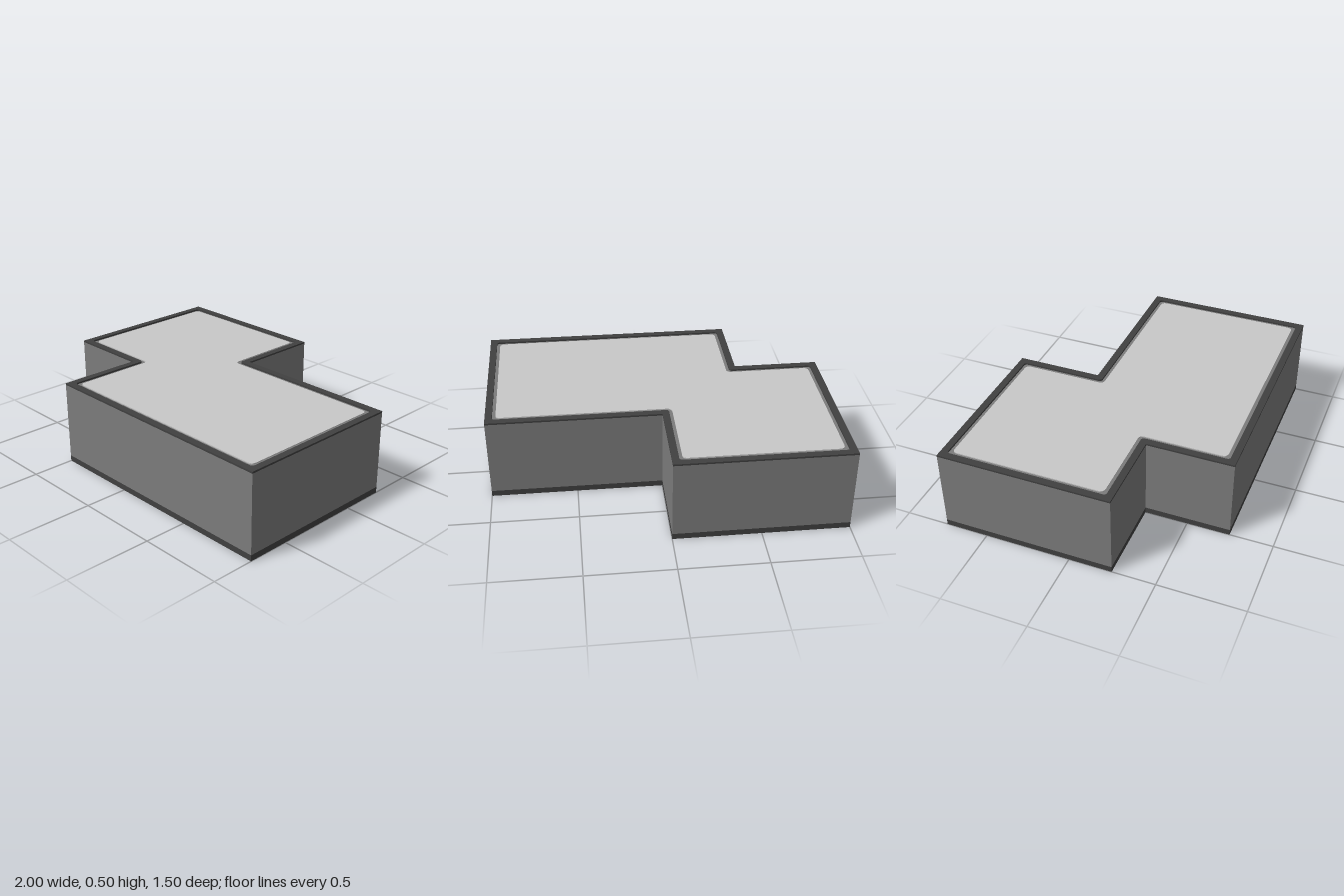
import * as THREE from 'three';

// Z-shaped footprint as [x, z] corners
const OUTLINE = [[-1, -0.75], [0, -0.75], [0, -0.25], [1, -0.25], [1, 0.75], [-0.5, 0.75], [-0.5, 0.25], [-1, 0.25]];

// Footprint moved inward by d, with corners rounded by r
function trace(path, d, r) {
  const n = OUTLINE.length;
  const dir = (i) => {
    const a = OUTLINE[(i + n) % n], b = OUTLINE[(i + 1) % n];
    return [Math.sign(b[0] - a[0]), Math.sign(b[1] - a[1])];
  };
  OUTLINE.forEach(([px, pz], i) => {
    const [ax, az] = dir(i - 1), [bx, bz] = dir(i);
    const x = px - (az + bz) * d, z = pz + (ax + bx) * d;
    if (r === 0) {
      if (i === 0) path.moveTo(x, z);
      else path.lineTo(x, z);
      return;
    }
    if (i === 0) path.moveTo(x - ax * r, z - az * r);
    else path.lineTo(x - ax * r, z - az * r);
    path.quadraticCurveTo(x, z, x + bx * r, z + bz * r);
  });
  path.closePath();
  return path;
}

// Upright slab of the footprint between heights y0 and y1
function slab(name, material, y0, y1, inset, radius, hole) {
  const shape = trace(new THREE.Shape(), inset, radius);
  if (hole) shape.holes.push(trace(new THREE.Path(), hole.inset, hole.radius));
  const geometry = new THREE.ExtrudeGeometry(shape, { depth: y1 - y0, bevelEnabled: false, curveSegments: 6 });
  geometry.rotateX(Math.PI / 2);
  geometry.translate(0, y1, 0);
  const mesh = new THREE.Mesh(geometry, material);
  mesh.name = name;
  return mesh;
}

function material(name, color) {
  const m = new THREE.MeshStandardMaterial({ color });
  m.name = name;
  return m;
}

export function createModel() {
  const wall = material('mid grey', 0x7c7c7c);
  const trim = material('dark grey', 0x404040);
  const panel = material('light grey', 0xc8c8c8);
  const opening = { inset: 0.04, radius: 0.02 };

  const group = new THREE.Group();
  group.name = 'zBlock';
  group.add(
    // Main walls, and the groove floor set inside the lower trim
    slab('body', wall, 0.035, 0.49, 0, 0),
    slab('bottomGroove', wall, 0.008, 0.035, 0.04, 0.02),
    // Dark frames around both faces
    slab('topTrim', trim, 0.49, 0.5, 0, 0, opening),
    slab('bottomTrim', trim, 0, 0.035, 0, 0, opening),
    // Rounded light panels
    slab('topPanel', panel, 0.49, 0.496, 0.06, 0.03),
    slab('bottomPanel', panel, 0.003, 0.008, 0.06, 0.03),
  );
  return group;
}
